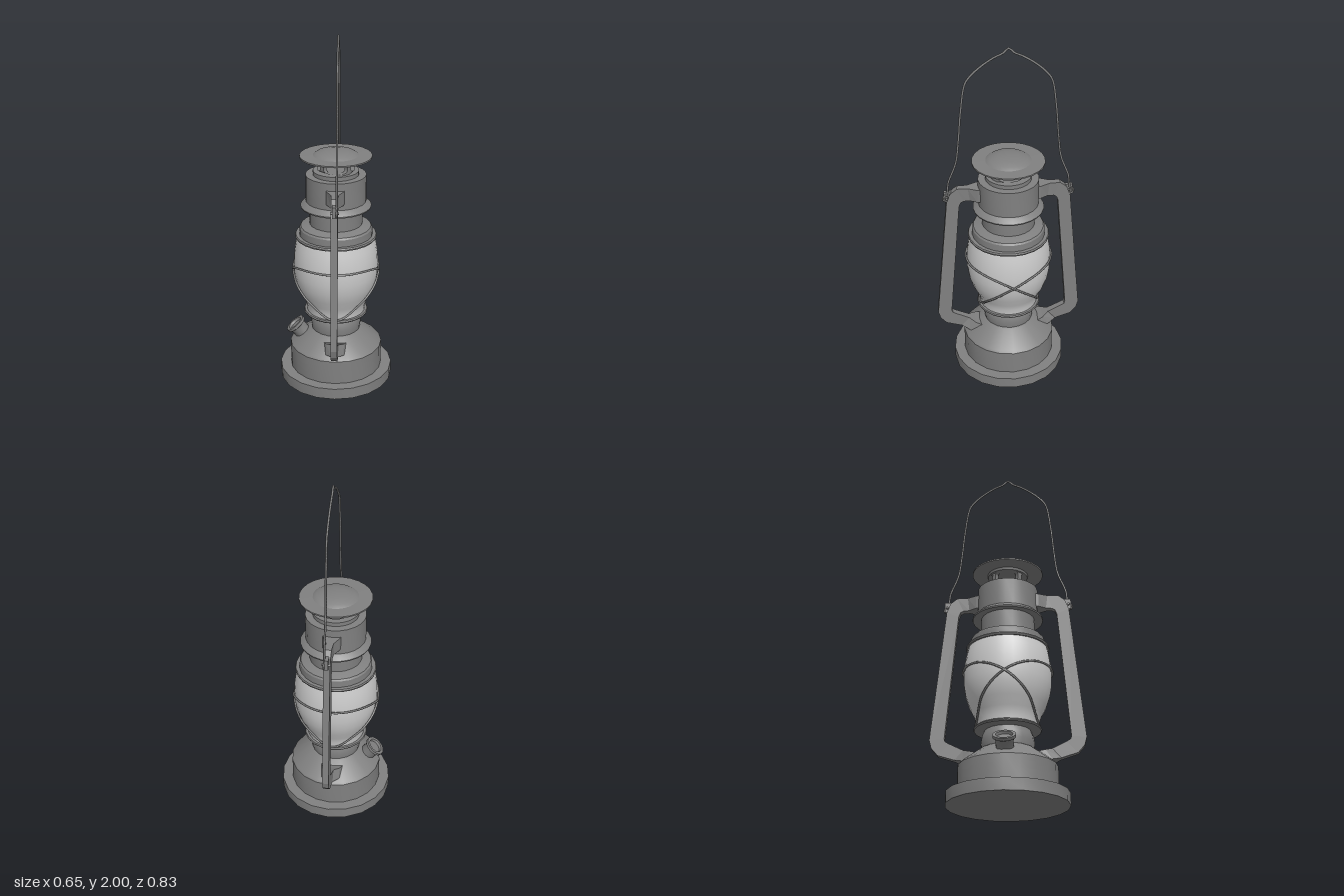
import * as THREE from 'three';
import { toCreasedNormals } from 'three/addons/utils/BufferGeometryUtils.js';

const metal = new THREE.MeshStandardMaterial({ color: 0x808080 });
const glassMat = new THREE.MeshStandardMaterial({ color: 0xcccccc, side: THREE.DoubleSide });

function add(parent, name, geometry, material = metal) {
  const mesh = new THREE.Mesh(geometry, material);
  mesh.name = name;
  parent.add(mesh);
  return mesh;
}

const turned = (points, sides = 20) => toCreasedNormals(
  new THREE.LatheGeometry(points.map(([r, y]) => new THREE.Vector2(r, y)), sides), 0.5);

const wire = (points, radius, closed, steps) => new THREE.TubeGeometry(
  new THREE.CatmullRomCurve3(points, closed), steps, radius, 6, closed);

// Globe profile, radius and height from bottom to top
const globe = [[0.165, 0.415], [0.168, 0.45], [0.182, 0.49], [0.208, 0.54], [0.228, 0.60],
  [0.238, 0.66], [0.239, 0.72], [0.235, 0.78], [0.227, 0.83], [0.217, 0.875]];

function globeRadius(y) {
  for (let i = 1; i < globe.length; i++) {
    const [r0, y0] = globe[i - 1], [r1, y1] = globe[i];
    if (y <= y1) return r0 + (r1 - r0) * Math.max(0, (y - y0) / (y1 - y0));
  }
  return globe[globe.length - 1][0];
}

// Ring wall with four rounded windows, bent from a flat strip
function ventGeometry(inner, thickness, y0, height) {
  const strip = [], n = 64;
  for (let i = 0; i <= n; i++) strip.push(new THREE.Vector2(2 * Math.PI * i / n, 0));
  for (let i = n; i >= 0; i--) strip.push(new THREE.Vector2(2 * Math.PI * i / n, height));
  const shape = new THREE.Shape(strip);
  const soft = (v) => Math.sign(v) * Math.sqrt(Math.abs(v));
  for (let k = 0; k < 4; k++) {
    const hole = [];
    for (let i = 0; i < 40; i++) {
      const t = -2 * Math.PI * i / 40;
      hole.push(new THREE.Vector2((k + 0.5) * Math.PI / 2 + 0.66 * soft(Math.cos(t)),
        height / 2 + height * 0.4 * soft(Math.sin(t))));
    }
    shape.holes.push(new THREE.Path(hole));
  }
  const g = new THREE.ExtrudeGeometry(shape, { depth: thickness, bevelEnabled: false });
  const p = g.attributes.position;
  for (let i = 0; i < p.count; i++) {
    const a = p.getX(i) + Math.PI / 4, r = inner + p.getZ(i);
    p.setXYZ(i, r * Math.sin(a), y0 + p.getY(i), r * Math.cos(a));
  }
  return toCreasedNormals(g, 0.5);
}

// Four-sided arm from sections: outer z, outer y, inner z, inner y, half width
function armGeometry(sections) {
  const pos = [];
  const rings = sections.map(([oz, oy, iz, iy, w]) =>
    [[w, oy, oz], [-w, oy, oz], [-w, iy, iz], [w, iy, iz]]);
  for (let i = 0; i + 1 < rings.length; i++) {
    for (let k = 0; k < 4; k++) {
      const j = (k + 1) % 4;
      const [a, b, c, d] = [rings[i][k], rings[i][j], rings[i + 1][j], rings[i + 1][k]];
      pos.push(...a, ...b, ...c, ...a, ...c, ...d);
    }
  }
  const g = new THREE.BufferGeometry();
  g.setAttribute('position', new THREE.Float32BufferAttribute(pos, 3));
  g.computeVertexNormals();
  return g;
}

export function createModel() {
  const lantern = new THREE.Group();
  lantern.name = 'lantern';

  // Fuel tank, burner neck and globe plate
  add(lantern, 'fuelTank', turned([[0, 0], [0.325, 0], [0.325, 0.065], [0.265, 0.065],
    [0.265, 0.205], [0.255, 0.217], [0.15, 0.295], [0.14, 0.3], [0.144, 0.335], [0.138, 0.37],
    [0.125, 0.4], [0.18, 0.404], [0.184, 0.411], [0.18, 0.418], [0, 0.418]]));

  // Glass globe
  add(lantern, 'glassGlobe', turned(globe, 32), glassMat);

  // Hood above the globe and chimney body
  add(lantern, 'chimney', turned([[0, 0.87], [0.228, 0.87], [0.23, 0.878], [0.226, 0.886],
    [0.206, 0.886], [0.204, 0.925], [0.197, 0.935], [0.16, 0.947], [0.148, 0.95], [0.148, 1.056],
    [0.196, 1.05], [0.198, 1.058], [0.176, 1.08], [0.168, 1.085], [0.168, 1.237],
    [0.127, 1.237], [0.127, 1.26], [0, 1.26]], 24));

  // Vent ring and rain cap
  add(lantern, 'ventRing', ventGeometry(0.08, 0.025, 1.26, 0.07));
  add(lantern, 'rainCap', turned([[0, 1.322], [0.112, 1.322], [0.115, 1.336], [0.2, 1.338],
    [0.2, 1.346], [0.125, 1.348], [0.105, 1.361], [0.06, 1.371], [0, 1.375]], 24));

  // Side frame arms, with an ear and pivot for the handle on each
  const arm = armGeometry([
    [0.15, 1.195, 0.15, 1.12, 0.052], [0.175, 1.195, 0.175, 1.118, 0.045],
    [0.225, 1.195, 0.215, 1.117, 0.02], [0.285, 1.195, 0.25, 1.115, 0.018],
    [0.322, 1.165, 0.266, 1.105, 0.018], [0.343, 1.11, 0.275, 1.08, 0.018],
    [0.417, 0.36, 0.337, 0.365, 0.018], [0.405, 0.315, 0.332, 0.35, 0.018],
    [0.37, 0.275, 0.31, 0.337, 0.018], [0.28, 0.247, 0.235, 0.3, 0.02],
    [0.235, 0.233, 0.2, 0.285, 0.05], [0.19, 0.222, 0.15, 0.27, 0.068]]);
  for (const s of [1, -1]) {
    const side = new THREE.Group();
    side.name = s > 0 ? 'frontFrame' : 'backFrame';
    lantern.add(side);
    add(side, 'frameArm', arm).rotation.y = s > 0 ? 0 : Math.PI;
    add(side, 'handleEar', new THREE.BoxGeometry(0.02, 0.06, 0.04)).position.set(0, 1.145, s * 0.335);
    const pin = add(side, 'handlePin', new THREE.CylinderGeometry(0.007, 0.007, 0.046, 8));
    pin.rotation.z = Math.PI / 2;
    pin.position.set(0.002, 1.14, s * 0.342);
    const eye = add(side, 'handleEye', new THREE.TorusGeometry(0.019, 0.005, 6, 16));
    eye.rotation.y = Math.PI / 2;
    eye.position.set(0.013, 1.137, s * 0.342);
  }

  // Wire carrying handle
  const half = [[0.34, 1.155], [0.334, 1.19], [0.329, 1.235], [0.285, 1.355], [0.268, 1.48],
    [0.252, 1.65], [0.226, 1.81], [0.2, 1.85], [0.14, 1.905], [0.07, 1.95], [0.03, 1.968]];
  const bail = [...half, [0, 1.994], ...half.map(([z, y]) => [-z, y]).reverse()];
  add(lantern, 'handle', wire(bail.map(([z, y]) => new THREE.Vector3(0.013, y, z)), 0.006, false, 110));

  // Two crossing guard wires hugging the globe
  for (const s of [1, -1]) {
    const loop = [];
    for (let i = 0; i < 48; i++) {
      const a = 2 * Math.PI * i / 48, c = Math.cos(a);
      const y = 0.66 + 0.158 * c - 0.083 * c * c;
      const r = globeRadius(y) + 0.006;
      loop.push(new THREE.Vector3(r * Math.sin(a), y, s * r * c));
    }
    add(lantern, 'guardWire', wire(loop, 0.006, true, 96));
  }

  // Tilted filler spout with recessed cap
  const filler = add(lantern, 'fillerCap', turned([[0.046, -0.13], [0.046, -0.035], [0.052, -0.02],
    [0.06, -0.016], [0.06, 0], [0.044, 0], [0.04, -0.015], [0, -0.015]]));
  filler.position.set(-0.24, 0.31, 0);
  filler.rotation.z = 0.69;

  return lantern;
}
